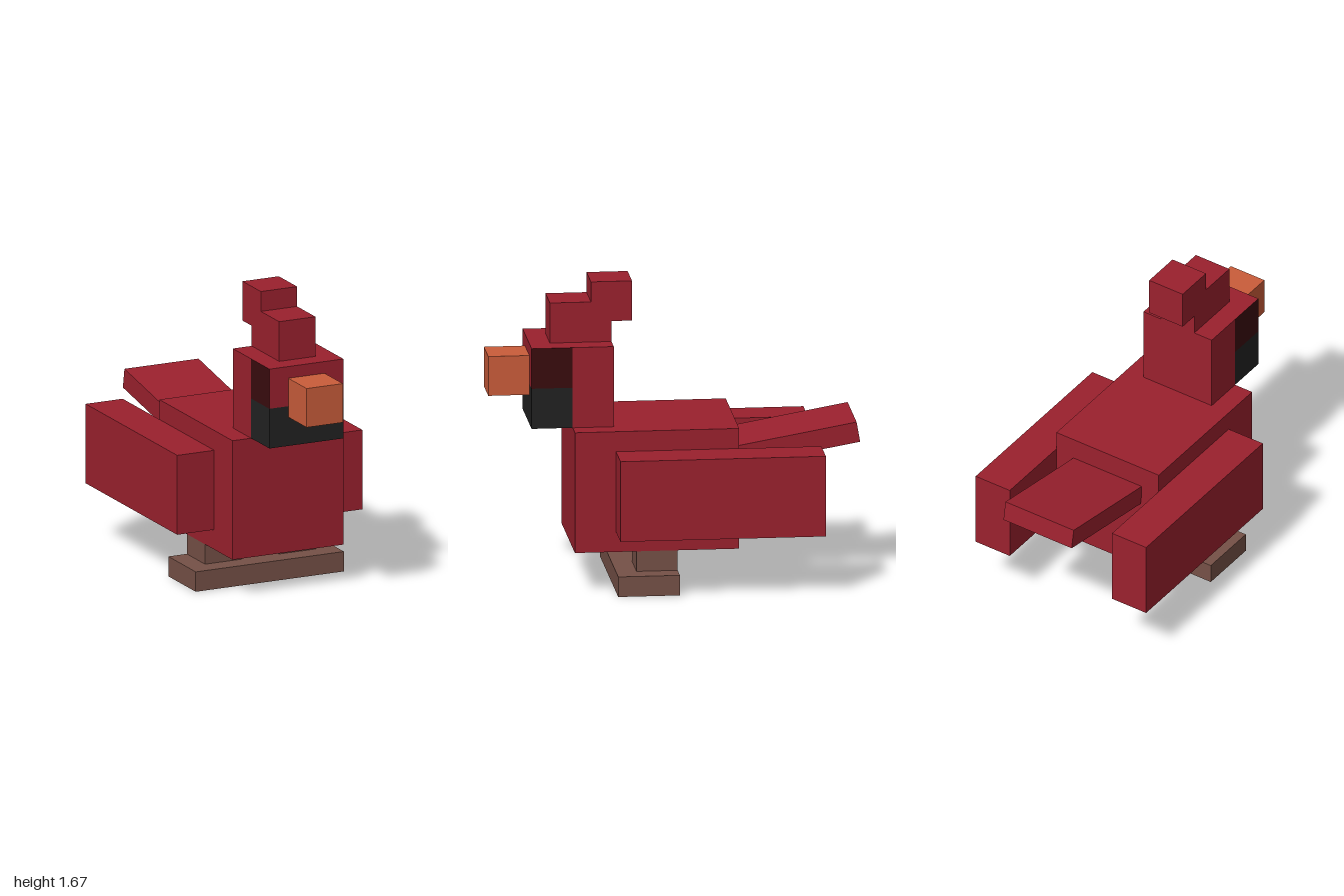
import * as THREE from 'three';

const U = 1 / 9; // one block unit

const material = (name, color) => {
  const m = new THREE.MeshStandardMaterial({ color });
  m.name = name;
  return m;
};

export function createModel() {
  const red = material('red', 0x9b212e);
  const maroon = material('darkMaroon', 0x3a0c0e);
  const black = material('black', 0x222222);
  const orange = material('orange', 0xcb5d3b);
  const brown = material('brown', 0x765147);

  const bird = new THREE.Group();
  bird.name = 'blockBird';

  // Box given by its ranges in block units
  const block = (name, mat, [x0, x1], [y0, y1], [z0, z1]) => {
    const geometry = new THREE.BoxGeometry((x1 - x0) * U, (y1 - y0) * U, (z1 - z0) * U);
    const mesh = new THREE.Mesh(geometry, mat);
    mesh.position.set((x0 + x1) / 2 * U, (y0 + y1) / 2 * U, (z0 + z1) / 2 * U);
    mesh.name = name;
    bird.add(mesh);
    return mesh;
  };

  block('body', red, [-3, 3], [2, 8], [-3, 5]);

  // Head: red back, face with dark cheeks, black chin
  block('headBack', red, [-2, 2], [8, 12], [3, 5]);
  block('face', [maroon, maroon, red, red, red, red], [-2, 2], [10, 12], [5, 7]);
  block('chin', black, [-2, 2], [8, 10], [5, 7]);
  block('beak', orange, [-0.98, 0.98], [9.45, 11.41], [7, 9]);

  // Stepped crest
  block('crestFront', red, [-0.98, 0.98], [12, 14], [3, 6]);
  block('crestTip', red, [-0.98, 0.98], [13.02, 15], [2, 4]);

  // Wings, legs and feet, mirrored
  for (const [side, s] of [['left', 1], ['right', -1]]) {
    const span = (a, b) => (s > 0 ? [a, b] : [-b, -a]);
    block(side + 'Wing', red, span(3, 5), [3, 7], [-7, 3]);
    block(side + 'Leg', brown, span(1, 3), [1, 2], [0, 2]);
    block(side + 'Foot', brown, span(0, 4), [0, 1], [0, 3]);
  }

  // Tail, raised towards the back
  const tail = block('tail', red, [-2, 2], [-0.5, 0.5], [-3, 3]);
  tail.position.set(0, 0.766, -0.662);
  tail.rotation.x = THREE.MathUtils.degToRad(10);

  return bird;
}
